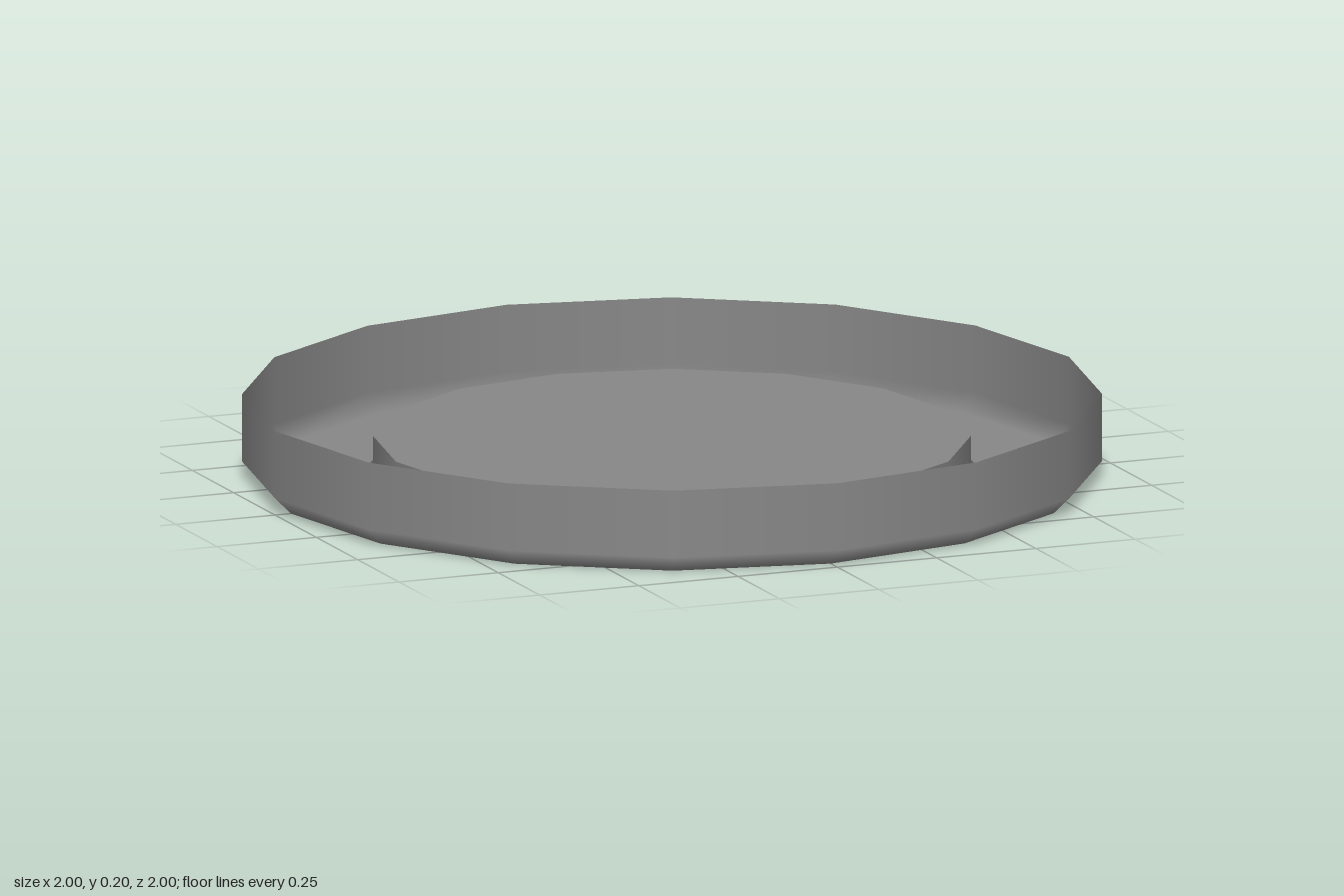
import * as THREE from 'three';

const SIDES = 16;
const HEIGHT = 0.2;
const BEVEL = 0.04;
const INNER = 0.695; // radius of the raised centre
const RAISED = 0.1; // height of the raised centre

export function createModel() {
  const group = new THREE.Group();
  const material = new THREE.MeshStandardMaterial({ color: 0x868686, side: THREE.DoubleSide });

  function add(name, geometry) {
    const mesh = new THREE.Mesh(geometry, material);
    mesh.name = name;
    group.add(mesh);
  }

  // Thin sheet: inner step, bevel, flat floor, bevel, outer wall
  const profile = [
    [INNER, RAISED],
    [INNER, BEVEL],
    [INNER + BEVEL, 0],
    [1 - BEVEL, 0],
    [1, BEVEL],
    [1, HEIGHT],
  ].map(([r, y]) => new THREE.Vector2(r, y));
  const dish = new THREE.LatheGeometry(profile, SIDES);

  // Floor and walls shade flat in profile, so only the bevels blend between them
  const { position, normal } = dish.attributes;
  const n = new THREE.Vector3();
  for (let i = 0; i < position.count; i++) {
    const { x: radius, y } = profile[i % profile.length];
    if (y === 0) n.set(0, -1, 0);
    else n.set(position.getX(i), 0, position.getZ(i)).divideScalar(radius === INNER ? -radius : radius);
    normal.setXYZ(i, n.x, n.y, n.z);
  }
  add('dishWall', dish);

  // Raised flat centre, open underneath
  const disc = new THREE.CircleGeometry(INNER, SIDES);
  disc.rotateX(Math.PI / 2);
  disc.translate(0, RAISED, 0);
  add('raisedCentre', disc);

  return group;
}
